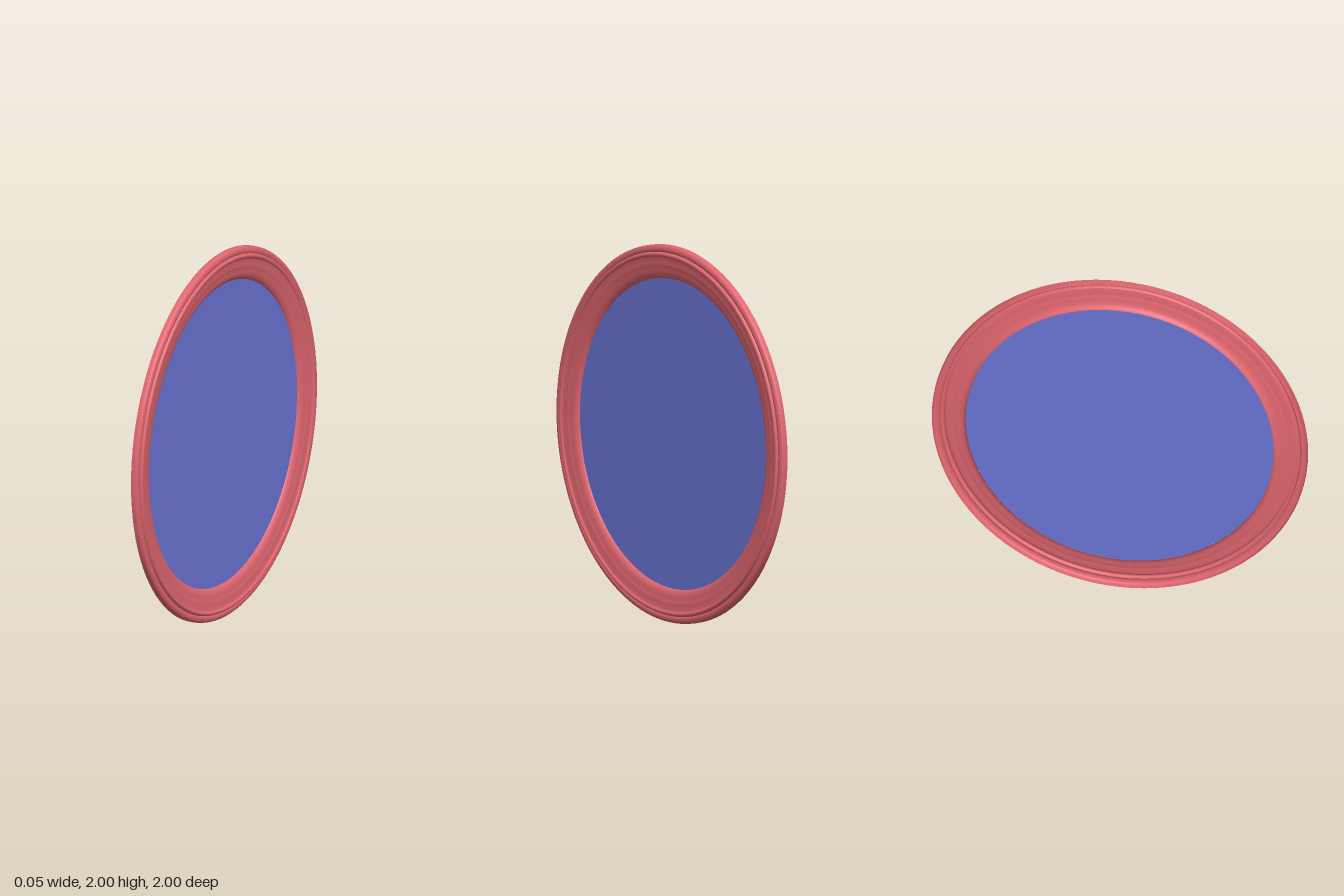
import * as THREE from 'three';

const SEGMENTS = 96;
const PANEL_RADIUS = 0.822;

// Smooth curve through [radius, height] pairs
function smooth(pairs, steps) {
  return new THREE.SplineCurve(pairs.map(([r, h]) => new THREE.Vector2(r, h))).getPoints(steps);
}

export function createModel() {
  const model = new THREE.Group();
  model.name = 'roundFramedPanel';

  const red = new THREE.MeshStandardMaterial({ color: 0xe06670, side: THREE.DoubleSide });
  const blue = new THREE.MeshStandardMaterial({ color: 0x6b76d6, side: THREE.DoubleSide });

  // Moulding sections, from the outer back edge to the inner lip; open at the back
  const sections = {
    outerRim: smooth([[1, -0.024], [1, -0.006], [0.996, 0.005], [0.985, 0.011], [0.972, 0.012], [0.962, 0.008]], 14),
    raisedBead: smooth([[0.962, 0.008], [0.959, 0.016], [0.951, 0.021], [0.942, 0.019], [0.935, 0.013]], 12),
    innerCove: smooth([[0.935, 0.013], [0.915, 0.01], [0.895, 0.009], [0.878, 0.005], [0.862, 0.003],
      [0.845, -0.001], [0.832, -0.008], [0.824, -0.016], [0.82, -0.024]], 20),
  };

  // Rings are turned about y, then laid so that their axis points along +x
  const frame = new THREE.Group();
  frame.name = 'frame';
  frame.rotation.z = -Math.PI / 2;
  for (const [name, points] of Object.entries(sections)) {
    const ring = new THREE.Mesh(new THREE.LatheGeometry(points, SEGMENTS), red);
    ring.name = name;
    frame.add(ring);
  }

  // Flat round panel set near the back of the frame
  const panel = new THREE.Mesh(new THREE.CircleGeometry(PANEL_RADIUS, SEGMENTS), blue);
  panel.name = 'panel';
  panel.rotation.y = Math.PI / 2;
  panel.position.x = -0.019;

  model.add(frame, panel);
  model.position.y = 1;
  const root = new THREE.Group();
  root.name = 'model';
  root.add(model);
  return root;
}
